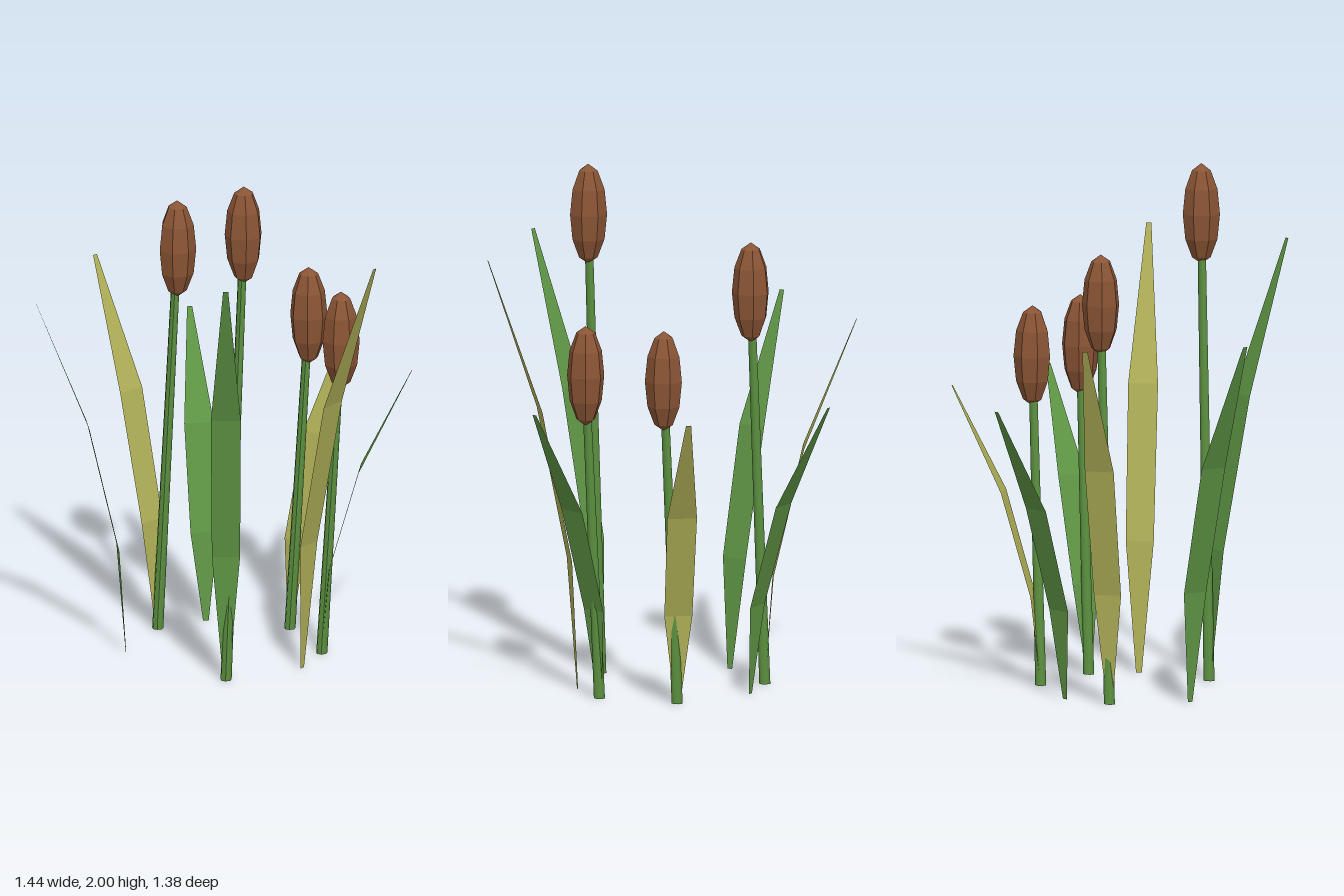
import * as THREE from 'three';

export function createModel() {
  const root = new THREE.Group();
  root.name = 'reeds';

  const mat = (name, color, extra) => {
    const m = new THREE.MeshStandardMaterial({ color, ...extra });
    m.name = name;
    return m;
  };
  const brown = mat('seedHeadBrown', 0x8b5535, { flatShading: true });
  const stemGreen = mat('stemGreen', 0x5c9140);
  const leafGreen = mat('leafGreen', 0x5f9645, { flatShading: true, side: THREE.DoubleSide });
  const olive = mat('leafOlive', 0xb0b058, { flatShading: true, side: THREE.DoubleSide });

  const add = (name, geometry, material, parent = root) => {
    const mesh = new THREE.Mesh(geometry, material);
    mesh.name = name;
    parent.add(mesh);
    return mesh;
  };

  // Reed: slightly leaning tapered stem with an upright seed head
  function reed(x, z, headX, headY, yaw) {
    const g = new THREE.Group();
    g.name = 'reed';
    g.position.set(x, 0, z);
    root.add(g);
    const lean = (headX - x) / headY;
    const stem = new THREE.CylinderGeometry(0.016, 0.022, headY, 7);
    stem.translate(0, headY / 2, 0);
    stem.applyMatrix4(new THREE.Matrix4().makeShear(0, 0, lean, 0, 0, 0));
    stem.computeVertexNormals();
    add('stem', stem, stemGreen, g);
    const head = add('seedHead', new THREE.SphereGeometry(0.073, 7, 6), brown, g);
    head.scale.y = 0.195 / 0.073;
    head.position.set(headX - x, headY, 0);
    head.rotation.y = yaw;
  }
  reed(0.03, 0.338, 0.098, 1.805, 0);
  reed(-0.28, -0.246, -0.205, 1.54, 0.5);
  reed(0.225, -0.286, 0.297, 1.27, 0.7);
  reed(0.37, -0.007, 0.444, 1.27, 0.35);

  // Leaf: flat ribbon that bends outward with the square of its height
  const levels = [[0, 0.022], [0.3, 0.108], [0.65, 0.115], [1, 0.02]];
  function leaf(x, z, tipX, tipZ, height, material) {
    const dx = tipX - x, dz = tipZ - z, len = Math.hypot(dx, dz);
    const pos = [], index = [];
    levels.forEach(([t, width], i) => {
      const cx = x + dx * t * t, cz = z + dz * t * t;
      const wx = (-dz / len) * width / 2, wz = (dx / len) * width / 2;
      pos.push(cx - wx, height * t, cz - wz, cx + wx, height * t, cz + wz);
      if (i) {
        const a = 2 * i - 2;
        index.push(a, a + 2, a + 1, a + 1, a + 2, a + 3);
      }
    });
    const geo = new THREE.BufferGeometry();
    geo.setAttribute('position', new THREE.Float32BufferAttribute(pos, 3));
    geo.setIndex(index);
    geo.computeVertexNormals();
    add('leaf', geo, material);
  }
  leaf(0.37, -0.007, 0.717, -0.007, 1.155, leafGreen);
  leaf(0.31, 0.177, 0.604, 0.368, 1.69, olive);
  leaf(0.03, 0.338, 0.057, 0.685, 1.69, leafGreen);
  leaf(-0.378, 0.05, -0.718, 0.115, 1.425, leafGreen);
  leaf(-0.28, -0.246, -0.54, -0.483, 1.425, olive);
  leaf(-0.103, -0.349, -0.193, -0.688, 1.155, leafGreen);
  leaf(0.225, -0.286, 0.432, -0.563, 1.155, olive);

  return root;
}
